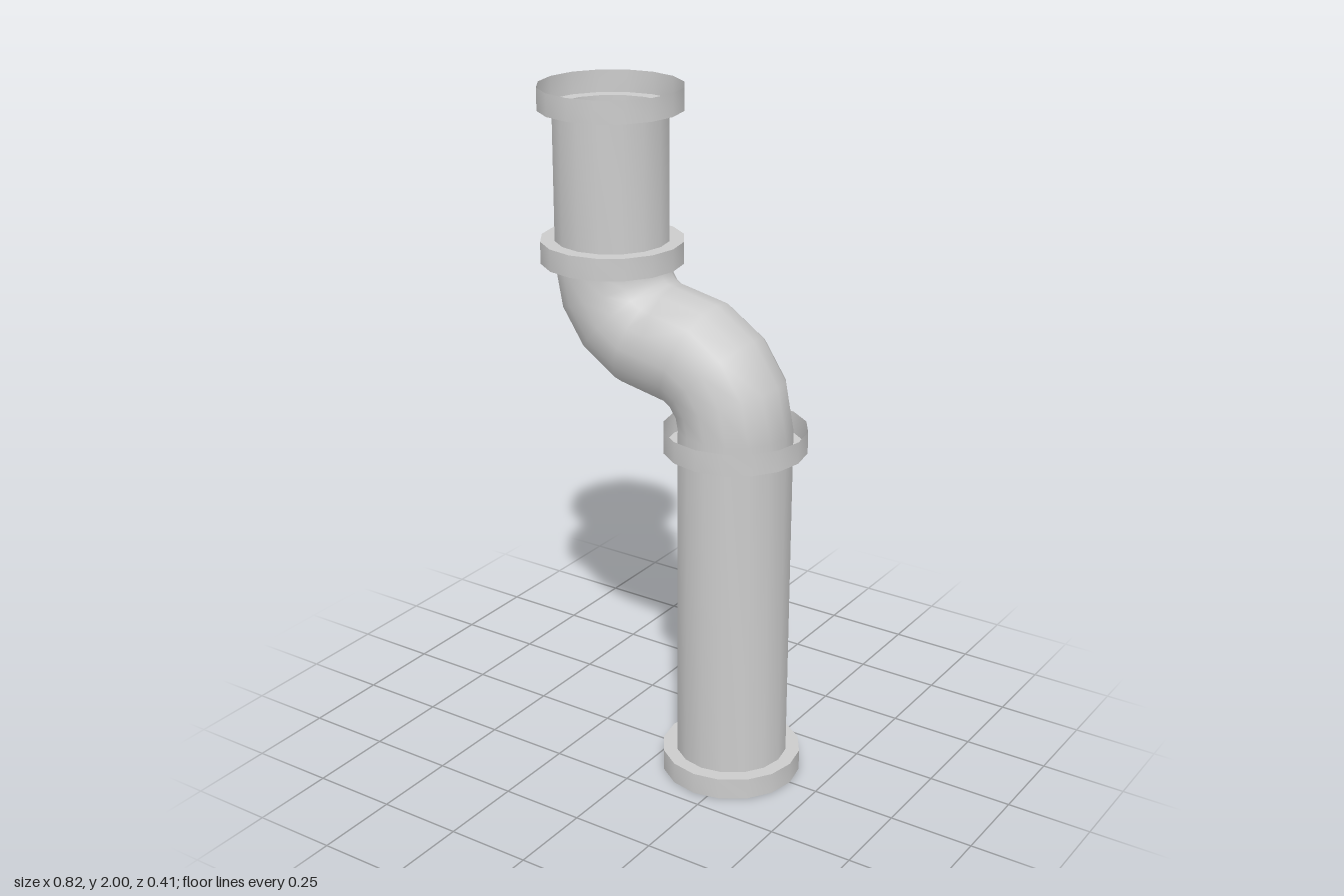
import * as THREE from 'three';
import { toCreasedNormals } from 'three/addons/utils/BufferGeometryUtils.js';

const SIDES = 16;
const PIPE_R = 0.164;    // pipe radius
const COLLAR_R = 0.205;  // socket collar radius
const COLLAR_H = 0.064;  // socket collar depth
const BEND_R = 0.207;    // centreline radius of each bend, also the pipe offset in x
const MID_Y = 1.295;     // middle of the S-bend

const material = new THREE.MeshStandardMaterial({ color: 0xcccccc, side: THREE.DoubleSide });

function addMesh(group, name, geometry, x, y) {
  const mesh = new THREE.Mesh(geometry, material);
  mesh.name = name;
  mesh.position.set(x, y, 0);
  group.add(mesh);
  return mesh;
}

// Straight pipe with a thin open socket at each end, its step recessed by the collar depth
function pipeGeometry(height) {
  const profile = [
    [COLLAR_R, 0], [COLLAR_R, COLLAR_H], [PIPE_R, COLLAR_H],
    [PIPE_R, height - COLLAR_H], [COLLAR_R, height - COLLAR_H], [COLLAR_R, height],
  ].map(([r, y]) => new THREE.Vector2(r, y));
  return toCreasedNormals(new THREE.LatheGeometry(profile, SIDES), Math.PI / 4);
}

export function createModel() {
  const group = new THREE.Group();
  group.name = 'offsetPipe';

  // Straight pipes
  const lowerTop = 1.087, upperBottom = 1.503;
  addMesh(group, 'lowerPipe', pipeGeometry(lowerTop), BEND_R, 0);
  addMesh(group, 'upperPipe', pipeGeometry(2 - upperBottom), -BEND_R, upperBottom);

  // S-bend: two quarter bends, each with a short spigot seated in its socket
  const bend = new THREE.TorusGeometry(BEND_R, PIPE_R, SIDES, 4, Math.PI / 2);
  const spigot = new THREE.CylinderGeometry(PIPE_R, PIPE_R, COLLAR_H, SIDES, 1, true);
  for (const [name, side] of [['lower', 1], ['upper', -1]]) {
    const bendY = MID_Y - side * BEND_R;
    addMesh(group, name + 'Bend', bend, 0, bendY).rotation.z = side > 0 ? 0 : Math.PI;
    addMesh(group, name + 'Spigot', spigot, side * BEND_R, bendY - side * COLLAR_H / 2);
  }

  return group;
}
